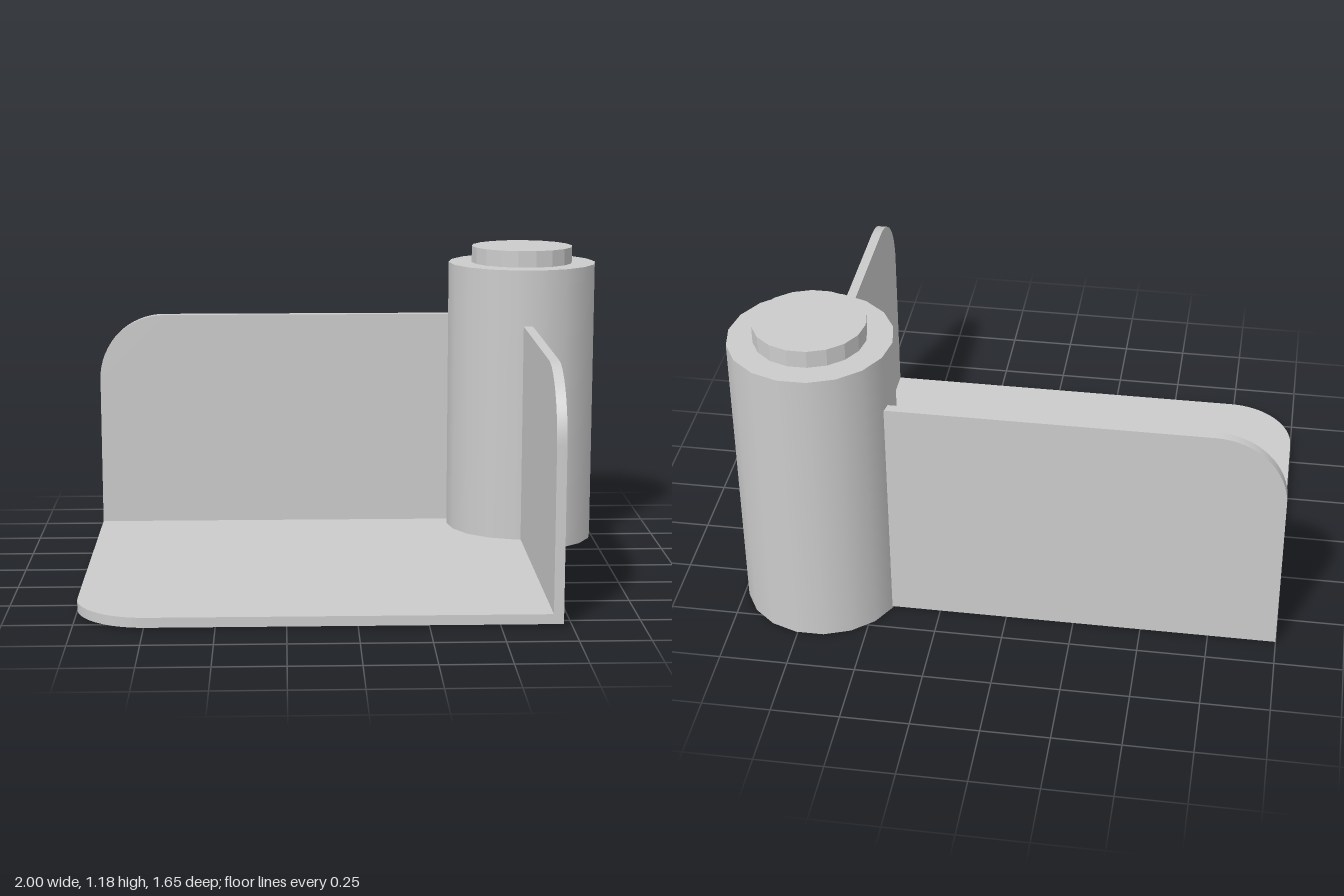
import * as THREE from 'three';
import { toCreasedNormals } from 'three/addons/utils/BufferGeometryUtils.js';

const T = 0.036;        // panel thickness
const R = 0.26;         // corner radius
const BASE = 0.008;     // underside of the floor
const POST = { x: 0.705, z: -0.535 };

// Rectangle from (u0, v0) to (u1, v1) with the corner at (u1, v1) rounded, extruded by T
function panel(u0, v0, u1, v1) {
  const s = Math.sign(u1 - u0);
  const c = new THREE.Vector2(u1 - s * R, v1 - R);
  const shape = new THREE.Shape();
  shape.moveTo(u0, v0);
  shape.lineTo(u1, v0);
  shape.lineTo(u1, c.y);
  shape.absarc(c.x, c.y, R, s > 0 ? 0 : Math.PI, Math.PI / 2, s < 0);
  shape.lineTo(u0, v1);
  shape.closePath();
  const geo = new THREE.ExtrudeGeometry(shape, { depth: T, bevelEnabled: false, curveSegments: 8 });
  return toCreasedNormals(geo, 0.6);
}

export function createModel() {
  const group = new THREE.Group();
  const smooth = new THREE.MeshStandardMaterial({ color: 0xcccccc });
  const faceted = new THREE.MeshStandardMaterial({ color: 0xcccccc, flatShading: true });

  const add = (name, geometry, material = smooth) => {
    const mesh = new THREE.Mesh(geometry, material);
    mesh.name = name;
    group.add(mesh);
  };

  // Floor and the two upright walls that meet inside the post
  add('floor', panel(0.72, -0.64, -1, 0.82).rotateX(Math.PI / 2).translate(0, BASE + T, 0));
  add('backWall', panel(0.72, BASE + T, -1, 0.9).translate(0, 0, -0.64));
  add('sideWall', panel(-0.64 + T, BASE + T, 0.82, 0.9).rotateY(-Math.PI / 2).translate(0.72, 0, 0));

  // Corner post with a smaller cap on top
  const cylinder = (r, y0, y1) =>
    new THREE.CylinderGeometry(r, r, y1 - y0, 18, 1, false, Math.PI / 2)
      .translate(POST.x, (y0 + y1) / 2, POST.z);
  add('post', cylinder(0.295, 0, 1.12));
  add('postCap', cylinder(0.202, 1.12, 1.185), faceted);

  return group;
}
